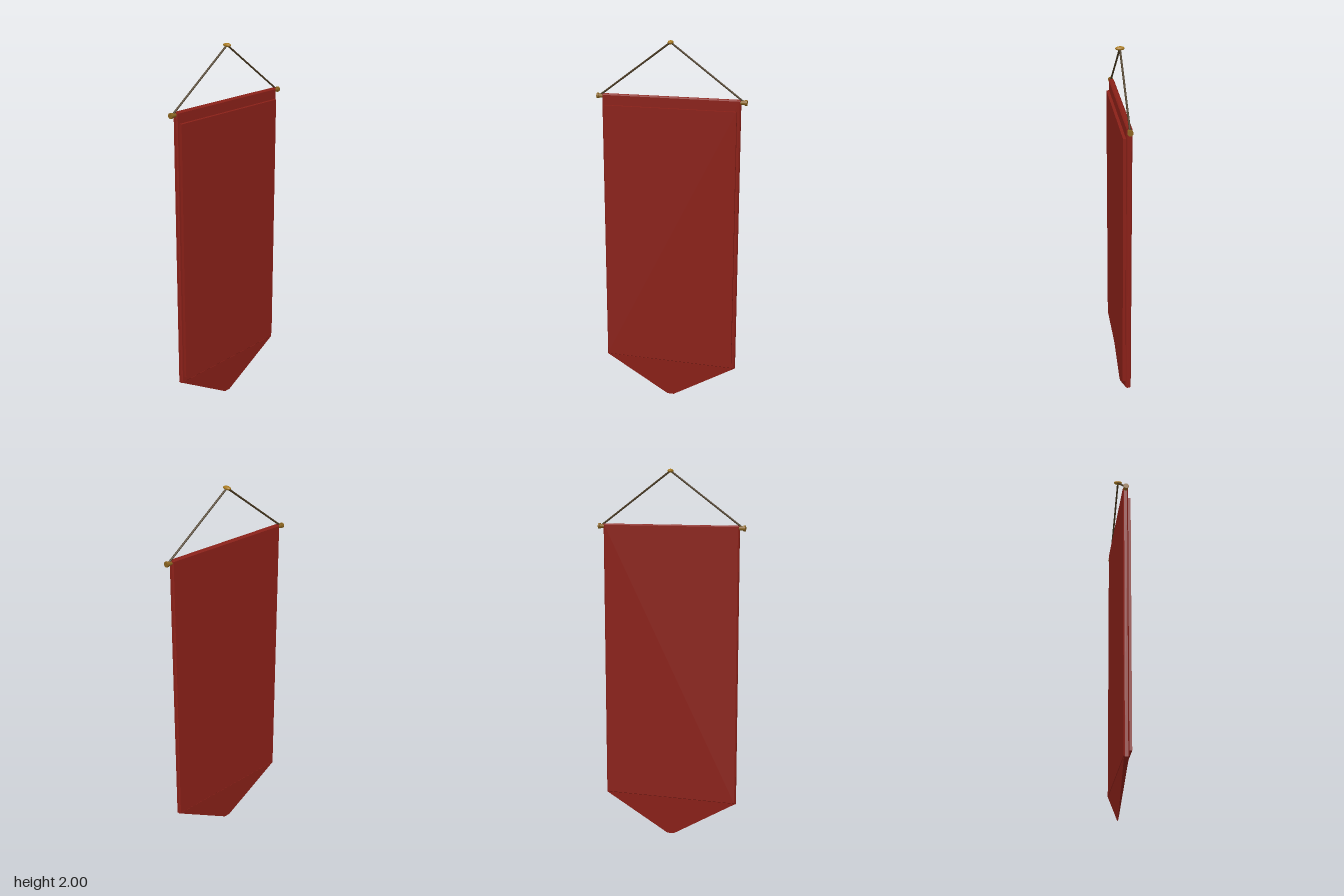
import * as THREE from 'three';

const mat = (color) => new THREE.MeshStandardMaterial({ color });

export function createModel() {
  const group = new THREE.Group();
  const red = mat(0x8a2018), brass = mat(0x8a6420), gold = mat(0xa87a20), cordMat = mat(0x4a3a22);
  const zc = -0.003; // depth of the rod and cloth centre

  const add = (name, geometry, material, x, y, z) => {
    const mesh = new THREE.Mesh(geometry, material);
    mesh.name = name;
    mesh.position.set(x, y, z);
    group.add(mesh);
    return mesh;
  };

  // Cloth: thin slab with bevelled edges
  const bevel = 0.006, w = 0.37 - bevel, bottom = 0.21, top = 1.713;
  const outline = new THREE.Shape([
    new THREE.Vector2(-w, bottom + bevel), new THREE.Vector2(w, bottom + bevel),
    new THREE.Vector2(w, top - bevel), new THREE.Vector2(-w, top - bevel),
  ]);
  const cloth = new THREE.ExtrudeGeometry(outline, {
    depth: 0.016, bevelEnabled: true, bevelSize: bevel, bevelThickness: bevel, bevelSegments: 1,
  });
  add('cloth', cloth, red, 0, 0, zc - 0.008);

  // Raised front panel
  add('frontPanel', new THREE.BoxGeometry(0.706, 1.41, 0.018), red, 0, 0.95, 0.017);

  // Pointed tail: a box tapered in width and depth towards its foot
  const tail = new THREE.BoxGeometry(0.74, 0.213, 0.024).toNonIndexed();
  const p = tail.attributes.position;
  for (let i = 0; i < p.count; i++) {
    if (p.getY(i) < 0) {
      p.setX(i, Math.sign(p.getX(i)) * 0.018);
      p.setZ(i, p.getZ(i) * 0.08);
    }
  }
  tail.computeVertexNormals();
  add('tail', tail, red, 0, 0.1065, zc);

  // Hanging rod with end caps
  const rodY = 1.7;
  add('rod', new THREE.CylinderGeometry(0.011, 0.011, 0.79, 16), brass, 0, rodY, zc).rotation.z = Math.PI / 2;

  const peak = new THREE.Vector3(0, 1.99, zc);
  for (const side of [-1, 1]) {
    const name = side > 0 ? 'left' : 'right';
    add(name + 'EndCap', new THREE.CylinderGeometry(0.0145, 0.0145, 0.011, 16), brass,
      side * 0.396, rodY, zc).rotation.z = Math.PI / 2;

    // Cord from the rod end up to the knob
    const end = new THREE.Vector3(side * 0.39, rodY, zc);
    const path = new THREE.LineCurve3(end, peak);
    add(name + 'Cord', new THREE.TubeGeometry(path, 1, 0.005, 8), cordMat, 0, 0, 0);
  }

  // Flattened knob at the peak
  add('knob', new THREE.SphereGeometry(1, 20, 14), gold, 0, 1.99, zc).scale.set(0.014, 0.01, 0.024);

  return group;
}
